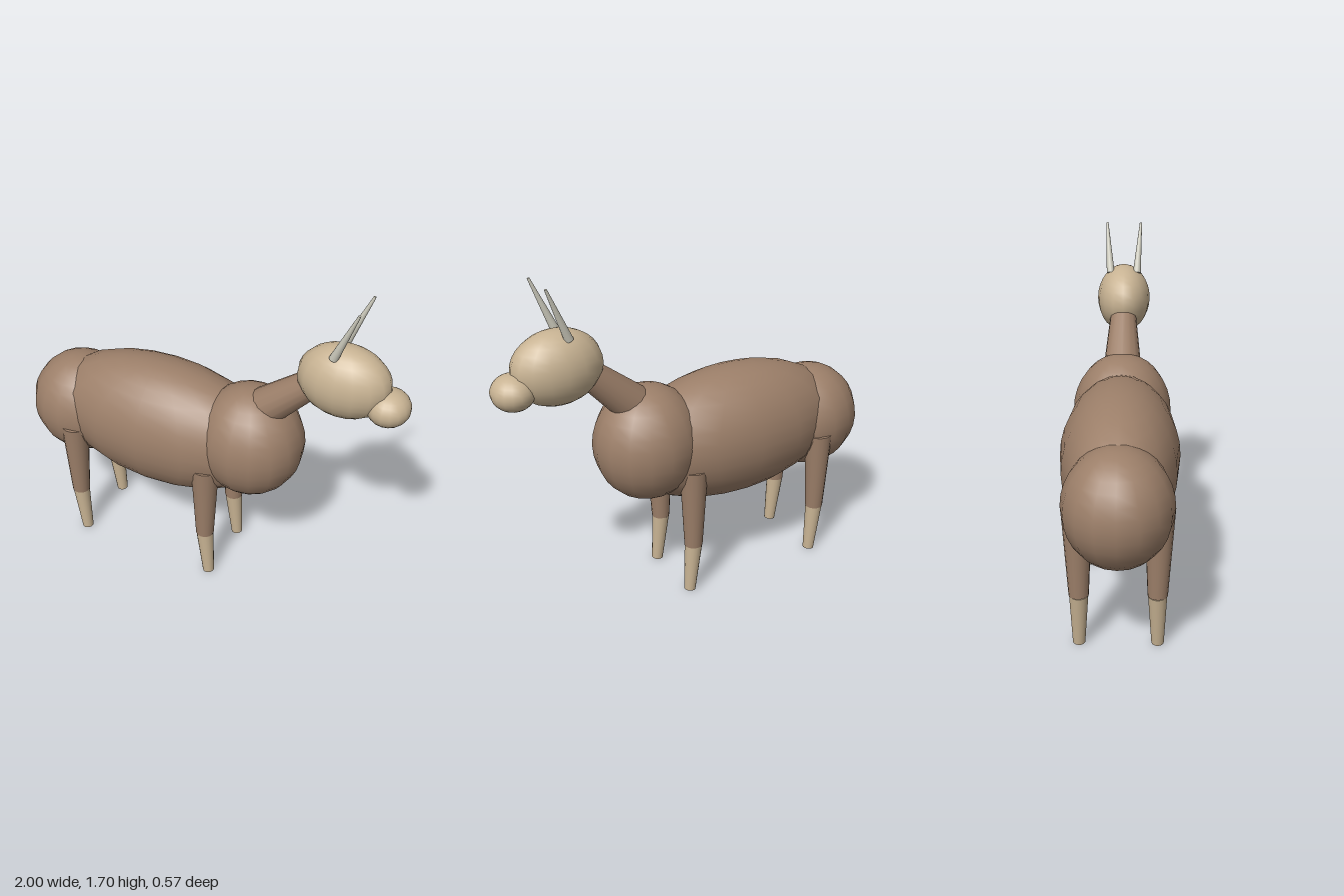
import * as THREE from 'three';

const material = (color) => new THREE.MeshStandardMaterial({ color });

export function createModel() {
  const model = new THREE.Group();
  model.name = 'hornedAnimal';
  const coat = material(0x9c7f69);
  const cream = material(0xc8b393);
  const horn = material(0xcac8ba);

  function ellipsoid(name, mat, center, radii) {
    const mesh = new THREE.Mesh(new THREE.SphereGeometry(1, 16, 16), mat);
    mesh.name = name;
    mesh.position.set(...center);
    mesh.scale.set(...radii);
    model.add(mesh);
  }

  // Tapered cylinder running between two points
  function limb(name, mat, from, to, r0, r1) {
    const a = new THREE.Vector3(...from);
    const b = new THREE.Vector3(...to);
    const dir = b.clone().sub(a);
    const mesh = new THREE.Mesh(new THREE.CylinderGeometry(r1, r0, dir.length(), 16), mat);
    mesh.name = name;
    mesh.position.copy(a).add(b).multiplyScalar(0.5);
    mesh.quaternion.setFromUnitVectors(new THREE.Vector3(0, 1, 0), dir.normalize());
    model.add(mesh);
  }

  // Torso
  ellipsoid('barrel', coat, [-0.25, 0.77, 0], [0.63, 0.34, 0.285]);
  ellipsoid('rump', coat, [-0.73, 0.73, 0], [0.27, 0.275, 0.25]);
  ellipsoid('chest', coat, [0.24, 0.822, 0], [0.27, 0.293, 0.25]);

  // Neck and head
  limb('neck', coat, [0.2, 0.935, 0], [0.62, 1.32, 0], 0.11, 0.057);
  ellipsoid('head', cream, [0.685, 1.307, 0], [0.22, 0.177, 0.14]);
  ellipsoid('muzzle', cream, [0.898, 1.235, 0], [0.1, 0.085, 0.105]);

  // Paired horns and legs
  for (const side of [1, -1]) {
    limb('horn', horn, [0.65, 1.45, 0.07 * side], [0.752, 1.7, 0.09 * side], 0.021, 0.006);
    for (const [place, x, z] of [['front', 0.08, 0.17], ['hind', -0.673, 0.183]]) {
      const knee = [x - 0.003, 0.265, (z - 0.005) * side];
      limb(place + 'UpperLeg', coat, [x, 0.7, z * side], knee, 0.07, 0.046);
      limb(place + 'LowerLeg', cream, knee, [x + 0.02, 0.004, (z - 0.002) * side], 0.044, 0.029);
    }
  }
  return model;
}
